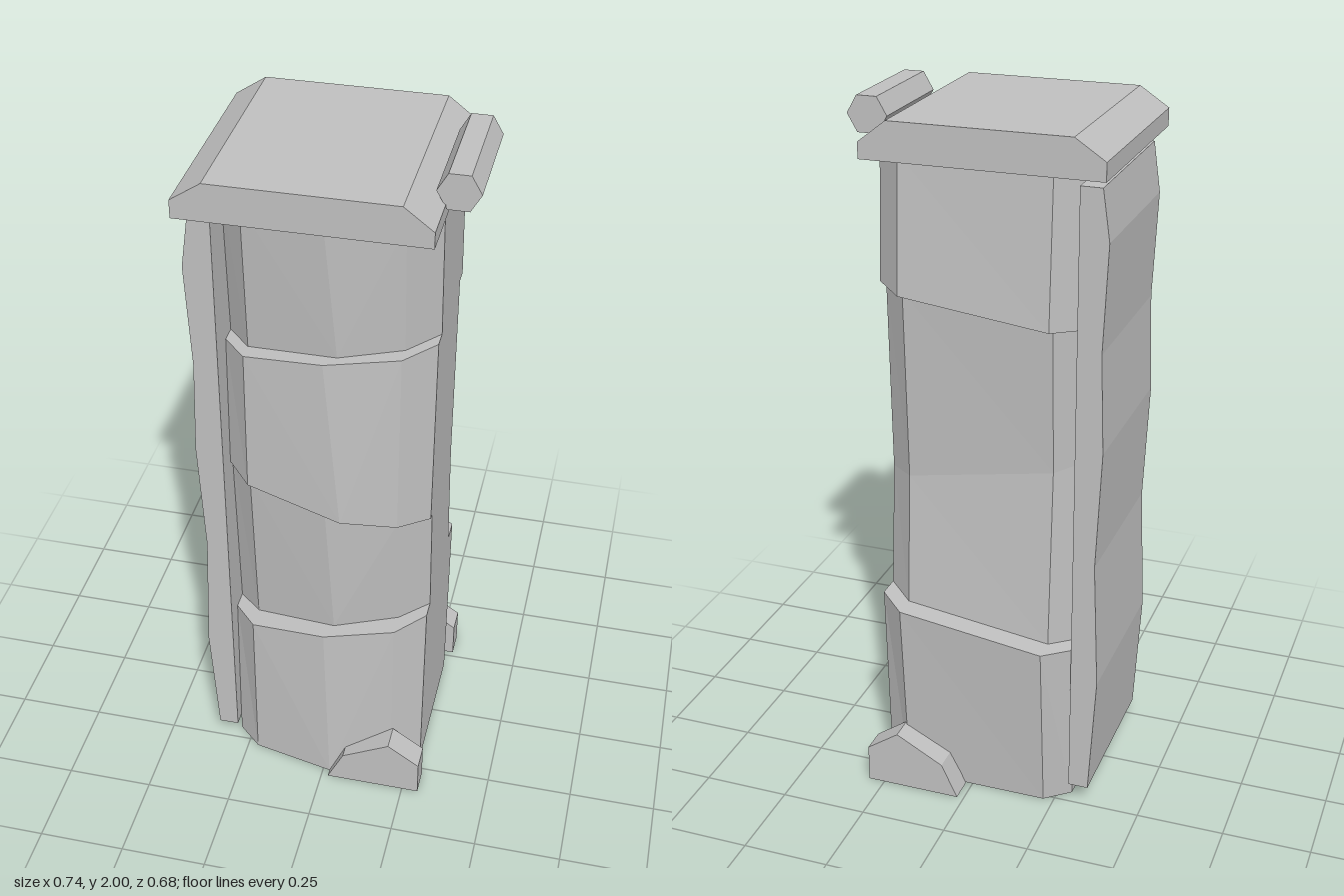
import * as THREE from 'three';

const stone = new THREE.MeshStandardMaterial({ color: 0xc0c0c0, flatShading: true });
stone.name = 'grey stone';

function addMesh(group, name, geometry) {
  const mesh = new THREE.Mesh(geometry, stone);
  mesh.name = name;
  group.add(mesh);
  return mesh;
}

// Extrudes a front outline from z0 to z1.
function slabFromOutline(points, z0, z1) {
  const shape = new THREE.Shape(points.map(([x, y]) => new THREE.Vector2(x, y)));
  const geometry = new THREE.ExtrudeGeometry(shape, { depth: z1 - z0, bevelEnabled: false });
  return geometry.translate(0, 0, z0);
}

// One level of a block: slanted height, front edge / corner / middle and back corner / edge depths.
function ring({ yL, yR, edge, corner, mid, midX, backCorner, backEdge }) {
  const plan = [
    [0.28, edge], [0.2, corner], [midX, mid], [-0.22, corner], [-0.29, edge],
    [-0.29, backEdge], [-0.22, backCorner], [0.2, backCorner], [0.28, backEdge],
  ];
  return plan.map(([x, z]) => [x, yL + (yR - yL) * (x + 0.29) / 0.57, z]);
}

// Closed block between two rings, each facet flat.
function blockGeometry(lower, upper) {
  const b = ring(lower), t = ring(upper), n = b.length, out = [];
  const tri = (...corners) => corners.forEach((c) => out.push(...c));
  for (let i = 0; i < n; i++) {
    const j = (i + 1) % n;
    if (i === 1) { // right front facet folds toward the lower middle
      tri(b[i], t[i], b[j]);
      tri(t[i], t[j], b[j]);
    } else {
      tri(b[i], t[i], t[j]);
      tri(b[i], t[j], b[j]);
    }
    if (i > 0 && i < n - 1) {
      tri(t[0], t[i + 1], t[i]);
      tri(b[0], b[i], b[i + 1]);
    }
  }
  const geometry = new THREE.BufferGeometry();
  geometry.setAttribute('position', new THREE.Float32BufferAttribute(out, 3));
  geometry.computeVertexNormals();
  return geometry;
}

export function createModel() {
  const model = new THREE.Group();
  model.name = 'stone pillar';

  // Four stacked, leaning blocks
  const blocks = [
    [{ yL: 0, yR: 0, edge: 0.207, corner: 0.27, mid: 0.32, midX: 0.02, backCorner: -0.265, backEdge: -0.207 },
      { yL: 0.5, yR: 0.58, edge: 0.186, corner: 0.265, mid: 0.30, midX: 0, backCorner: -0.308, backEdge: -0.233 }],
    [{ yL: 0.5, yR: 0.58, edge: 0.133, corner: 0.20, mid: 0.25, midX: 0.02, backCorner: -0.24, backEdge: -0.165 },
      { yL: 1.04, yR: 0.94, edge: 0.16, corner: 0.23, mid: 0.27, midX: 0, backCorner: -0.21, backEdge: -0.133 }],
    [{ yL: 1.04, yR: 0.94, edge: 0.18, corner: 0.255, mid: 0.303, midX: 0.05, backCorner: -0.21, backEdge: -0.133 },
      { yL: 1.44, yR: 1.51, edge: 0.165, corner: 0.245, mid: 0.276, midX: 0, backCorner: -0.23, backEdge: -0.15 }],
    [{ yL: 1.44, yR: 1.51, edge: 0.117, corner: 0.197, mid: 0.24, midX: 0.03, backCorner: -0.265, backEdge: -0.19 },
      { yL: 1.88, yR: 1.88, edge: 0.143, corner: 0.22, mid: 0.255, midX: 0, backCorner: -0.24, backEdge: -0.165 }],
  ];
  blocks.forEach(([lower, upper], i) => addMesh(model, `pillar block ${i + 1}`, blockGeometry(lower, upper)));

  // Wavy slab along the left-hand side of the pillar
  addMesh(model, 'side slab', slabFromOutline([
    [-0.29, 0.055], [-0.29, 1.84], [-0.35, 1.84], [-0.37, 1.70], [-0.357, 1.40],
    [-0.367, 1.12], [-0.352, 0.78], [-0.367, 0.41], [-0.347, 0.055],
  ], -0.245, 0.245));

  // Cap with two bevelled edges
  addMesh(model, 'cap', slabFromOutline([
    [-0.373, 1.87], [0.283, 1.87], [0.283, 1.915], [0.205, 1.975], [-0.29, 1.975], [-0.373, 1.92],
  ], -0.3, 0.3));

  // Six-sided bar beside the cap
  const bar = addMesh(model, 'hexagonal bar', new THREE.CylinderGeometry(0.0565, 0.0565, 0.326, 6));
  bar.geometry.rotateY(Math.PI / 2).rotateX(Math.PI / 2);
  // turn so that a flat side faces up
  bar.geometry.computeBoundingBox();
  const size = bar.geometry.boundingBox.getSize(new THREE.Vector3());
  if (size.y > size.x) bar.geometry.rotateZ(Math.PI / 2);
  bar.position.set(0.315, 1.951, 0);

  // Rubble feet, front and back
  const foot = [[0.02, 0], [0.298, 0], [0.298, 0.11], [0.205, 0.175], [0.067, 0.1]];
  addMesh(model, 'front foot', slabFromOutline(foot, 0.268, 0.342));
  addMesh(model, 'back foot', slabFromOutline(foot, -0.342, -0.268));

  return model;
}
